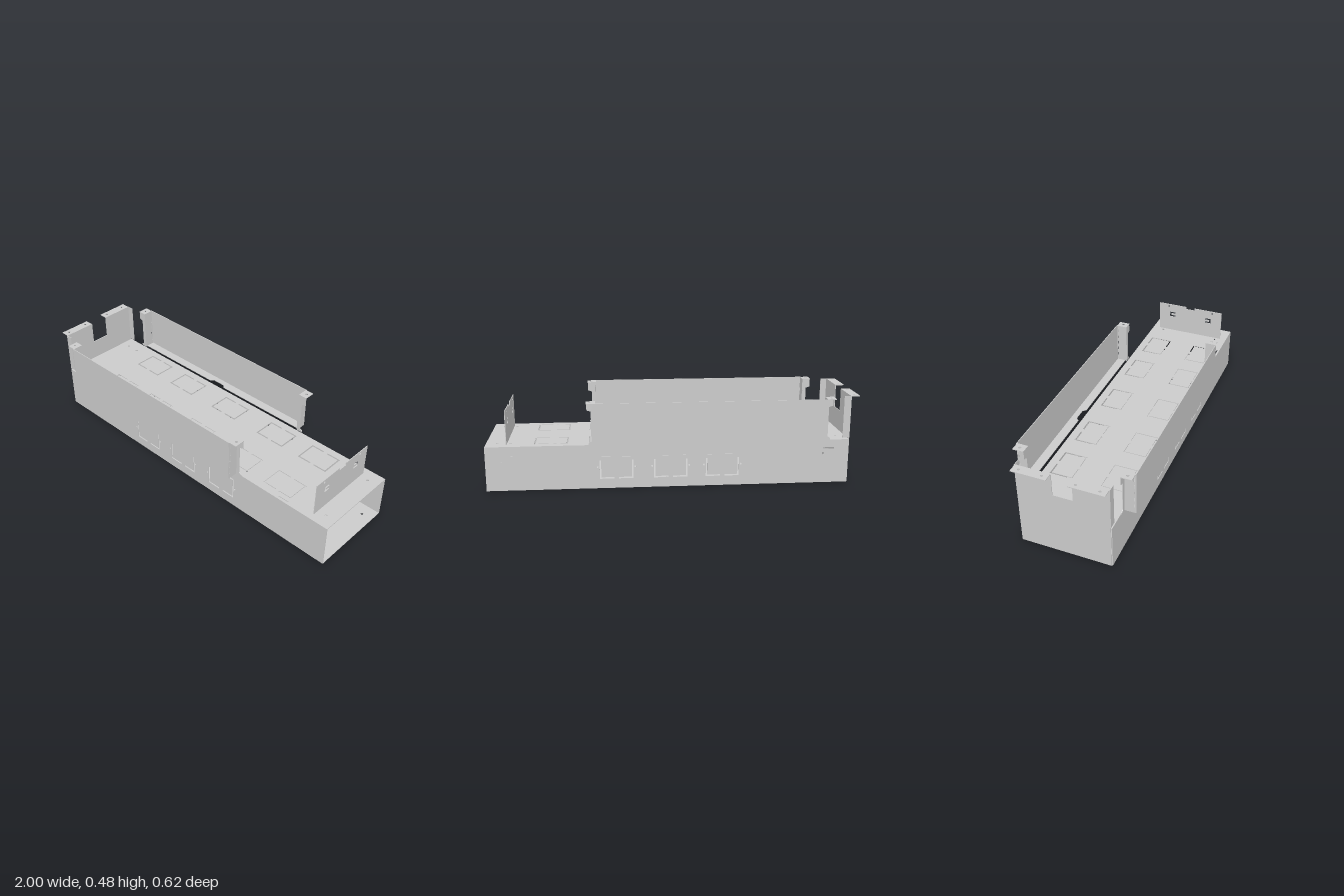
import * as THREE from 'three';

const T = 0.004; // sheet thickness
const material = new THREE.MeshStandardMaterial({ color: 0xcccccc, side: THREE.DoubleSide });

const path = (pts) => pts.map(([a, b]) => new THREE.Vector2(a, b));
const rect = (a0, b0, a1, b1) => [[a0, b0], [a1, b0], [a1, b1], [a0, b1]];
const mirrorU = (pts) => pts.map(([a, b]) => [-a, b]);
const circle = (a, b, r = 0.007) =>
  Array.from({ length: 16 }, (_, i) => {
    const t = (i / 16) * Math.PI * 2;
    return [a + r * Math.cos(t), b + r * Math.sin(t)];
  });

// Two facing U-shaped slits that outline a knockout panel
function knockout(cx, cy, w, h, slit = 0.008, bridge = 0.012) {
  const half = (s) => [
    [s * bridge, h / 2], [s * w / 2, h / 2], [s * w / 2, -h / 2], [s * bridge, -h / 2],
    [s * bridge, -h / 2 + slit], [s * (w / 2 - slit), -h / 2 + slit],
    [s * (w / 2 - slit), h / 2 - slit], [s * bridge, h / 2 - slit],
  ].map(([a, b]) => [cx + a, cy + b]);
  return [half(1), half(-1)];
}

// Flat sheet: plane 'xy' (at z), 'xz' (at y) or 'zy' (at x); pos is its centre plane
function sheet(group, name, plane, pos, outline, holes = []) {
  const shape = new THREE.Shape(path(outline));
  holes.forEach((h) => shape.holes.push(new THREE.Path(path(h))));
  const g = new THREE.ExtrudeGeometry(shape, { depth: T, bevelEnabled: false });
  g.translate(0, 0, -T / 2);
  if (plane === 'xz') g.rotateX(Math.PI / 2).translate(0, pos, 0);
  else if (plane === 'zy') g.rotateY(-Math.PI / 2).translate(pos, 0, 0);
  else g.translate(0, 0, pos);
  const mesh = new THREE.Mesh(g, material);
  mesh.name = name;
  group.add(mesh);
}

function part(parent, name) {
  const g = new THREE.Group();
  g.name = name;
  parent.add(g);
  return g;
}

// Long open trough, closed at the -x end
function addTrough(root) {
  const g = part(root, 'trough');

  const deckHoles = [];
  for (const s of [1, -1]) {
    for (const x of [-0.61, -0.32, 0.02, 0.365, 0.655])
      deckHoles.push(...knockout(x, s * 0.14, 0.18, 0.128));
    for (const x of [-0.895, -0.82, 0.87, 0.94]) deckHoles.push(circle(x, s * 0.175));
  }
  for (const x of [-0.67, -0.155, 0.2, 0.72])
    deckHoles.push(rect(x - 0.03, 0.226, x + 0.03, 0.234));
  sheet(g, 'topDeck', 'xz', 0.24, rect(-0.95, -0.242, 1, 0.242), deckHoles);

  const floorHoles = [
    ...knockout(0.765, 0, 0.2, 0.38), ...knockout(-0.725, 0, 0.2, 0.38),
    rect(0.62, -0.18, 0.628, 0.18), rect(-0.578, -0.18, -0.57, 0.18),
  ];
  for (const x of [0.28, 0.03, -0.23]) floorHoles.push(circle(x, 0));
  for (const s of [1, -1]) {
    floorHoles.push(circle(0.03, s * 0.1));
    for (const x of [-0.9, 0.94]) floorHoles.push(circle(x, s * 0.175));
  }
  sheet(g, 'floor', 'xz', T / 2, rect(-0.95, -0.242, 1, 0.242), floorHoles);

  for (const s of [1, -1]) {
    const holes = [];
    for (const x of [-0.26, 0.02, 0.31]) {
      holes.push(...knockout(x, 0.118, 0.18, 0.13));
      for (const d of [-0.1, 0.1]) holes.push(circle(x + d, 0.118, 0.005));
    }
    // Mounting slots on the back wall only
    if (s < 0)
      for (const x of [-0.84, 0.885])
        holes.push(rect(x - 0.03, 0.19, x + 0.03, 0.199), circle(x + 0.03, 0.165));
    sheet(g, s > 0 ? 'frontWall' : 'backWall', 'xy', s * 0.243, rect(-0.95, 0, 1, 0.242), holes);
  }
}

// Tall end wall with a central notch, side returns and top tabs
function addEndWall(root) {
  const g = part(root, 'endWall');
  sheet(g, 'endPlate', 'zy', -0.952, [
    [-0.24, 0], [0.24, 0], [0.24, 0.48], [0.053, 0.48],
    [0.053, 0.355], [-0.053, 0.355], [-0.053, 0.48], [-0.24, 0.48],
  ]);
  for (const s of [1, -1]) {
    sheet(g, 'sideReturn', 'xy', s * 0.24, rect(-0.954, 0.25, -0.915, 0.48));
    sheet(g, 'topTab', 'xz', 0.479, rect(-1, s * 0.055, -0.95, s * 0.238),
      [circle(-0.977, s * 0.085), circle(-0.977, s * 0.205)]);
  }
}

// Upright plate with a notched top edge and two C-shaped slots
function addDivider(root) {
  const slot = [[0.137, 0.339], [0.1, 0.339], [0.1, 0.349], [0.127, 0.349],
    [0.127, 0.361], [0.1, 0.361], [0.1, 0.371], [0.137, 0.371]];
  sheet(root, 'dividerPlate', 'zy', 0.89, [
    [-0.206, 0.242], [0.206, 0.242], [0.206, 0.424], [0.027, 0.424],
    [0.027, 0.41], [-0.027, 0.41], [-0.027, 0.424], [-0.206, 0.424],
  ], [slot, mirrorU(slot), circle(0.145, 0.409, 0.006), circle(-0.145, 0.409, 0.006)]);
}

// Side rail: outer plate, notched bottom lip, end flanges and ears
function addRail(root, s) {
  const g = part(root, s > 0 ? 'frontRail' : 'backRail');
  const x0 = -0.81, x1 = 0.42;
  sheet(g, 'railPlate', 'xy', s * 0.308, rect(x0, 0.243, x1, 0.48));
  sheet(g, 'bottomLip', 'xz', 0.245, [
    [x0, 0.309], [x1, 0.309], [x1, 0.258], [-0.145, 0.258], [-0.16, 0.275],
    [-0.235, 0.275], [-0.25, 0.258], [x0, 0.258],
  ].map(([x, z]) => [x, s * z]));

  for (const [x, d] of [[x0, -1], [x1, 1]]) {
    const slits = [0.275, 0.315, 0.355, 0.395, 0.435].map((y) =>
      rect(s * 0.298, y, s * 0.302, y + 0.02));
    sheet(g, 'endFlange', 'zy', x, rect(s * 0.248, 0.243, s * 0.309, 0.48), slits);
    sheet(g, 'ear', 'xy', s * 0.249, [
      [0, 0.243], [0.035, 0.243], [0.035, 0.252], [0.02, 0.262],
      [0.02, 0.425], [0.042, 0.432], [0.042, 0.48], [0, 0.48],
    ].map(([a, y]) => [x + d * a, y]));
    sheet(g, 'earTab', 'xz', 0.478, rect(x - d * 0.004, s * 0.247, x + d * 0.044, s * 0.306),
      [circle(x + d * 0.022, s * 0.277)]);
  }
}

export function createModel() {
  const root = new THREE.Group();
  root.name = 'sheetMetalTray';
  addTrough(root);
  addEndWall(root);
  addDivider(root);
  addRail(root, 1);
  addRail(root, -1);
  return root;
}
